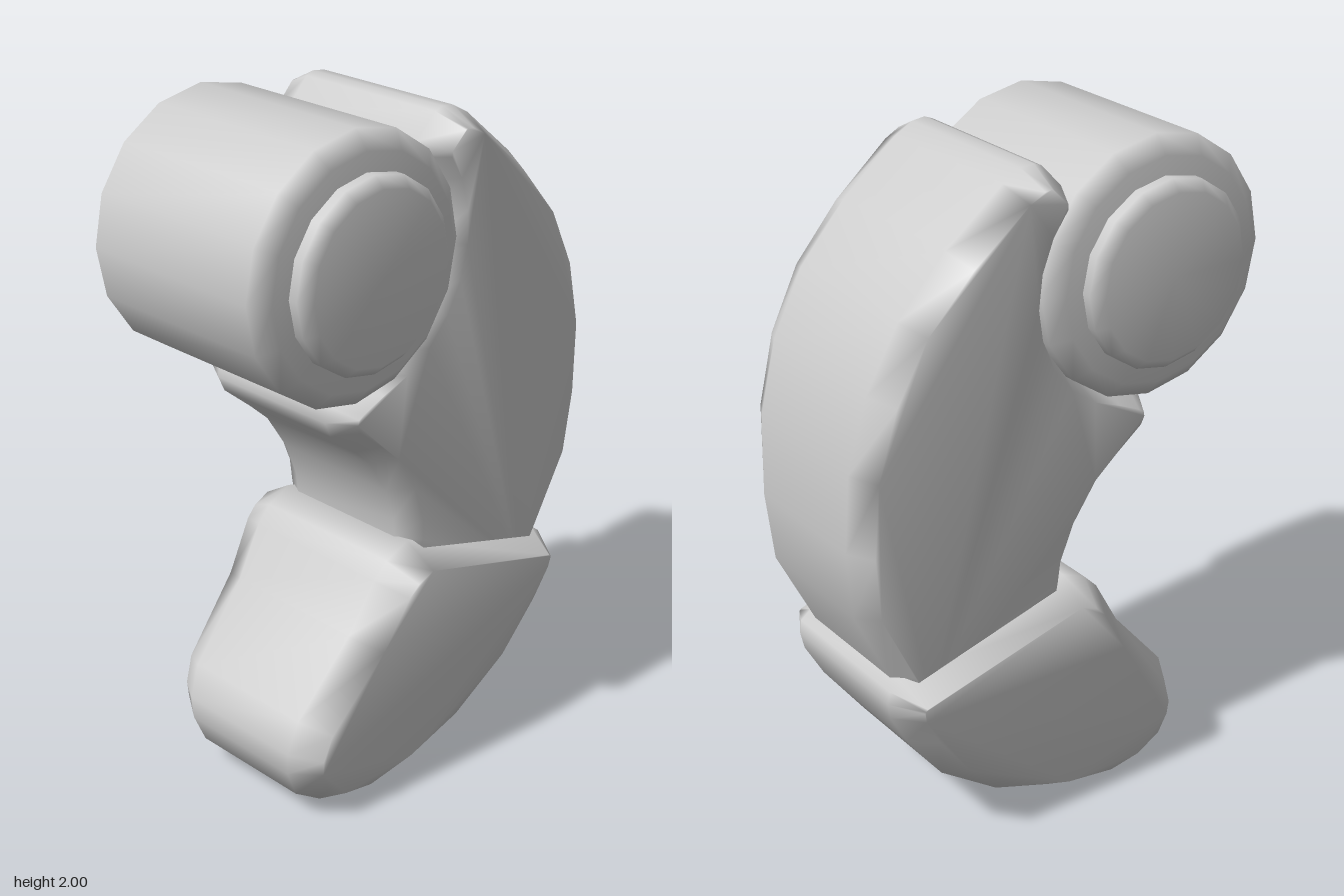
import * as THREE from 'three';
import { mergeVertices } from 'three/addons/utils/BufferGeometryUtils.js';

const grey = new THREE.MeshStandardMaterial({ color: 0xcccccc });
grey.name = 'grey';

// Weld all corners so the bevels shade smoothly
function smooth(geometry) {
  geometry.deleteAttribute('normal');
  geometry.deleteAttribute('uv');
  const welded = mergeVertices(geometry, 1e-4);
  welded.computeVertexNormals();
  return welded;
}

function addPart(group, name, geometry) {
  const mesh = new THREE.Mesh(smooth(geometry), grey);
  mesh.name = name;
  group.add(mesh);
  return mesh;
}

// Side profile of [z, y] points, bevelled, with its half width following the height
function slab(points, inset, bevel, halfWidth) {
  const shape = new THREE.Shape(points.map(([z, y]) => new THREE.Vector2(z, y)));
  const half = 0.3;
  const geometry = new THREE.ExtrudeGeometry(shape, {
    depth: 2 * (half - bevel), bevelEnabled: true, bevelSegments: 1,
    bevelThickness: bevel, bevelSize: inset, bevelOffset: -inset,
  });
  geometry.translate(0, 0, bevel - half);
  geometry.rotateY(-Math.PI / 2);
  const p = geometry.attributes.position;
  for (let i = 0; i < p.count; i++) {
    p.setX(i, p.getX(i) * halfWidth(p.getY(i)) / half);
  }
  return geometry;
}

// Sixteen-sided drum lying along x with bevelled rims
function drum(radius, half, bevelR, bevelX) {
  const profile = [
    [0, -half], [radius - bevelR, -half], [radius, bevelX - half],
    [radius, half - bevelX], [radius - bevelR, half], [0, half],
  ].map(([r, y]) => new THREE.Vector2(r, y));
  return new THREE.LatheGeometry(profile, 16).rotateZ(Math.PI / 2);
}

export function createModel() {
  const model = new THREE.Group();
  model.name = 'jointedFinger';
  const hinge = { y: 1.635, z: 0.28 };

  // Hinge barrel and the pin showing at both of its ends
  addPart(model, 'hingeBarrel', drum(0.365, 0.33, 0.05, 0.04)).position.set(0, hinge.y, hinge.z);
  addPart(model, 'hingePin', drum(0.262, 0.388, 0.03, 0.03)).position.set(0, hinge.y, hinge.z);

  // Curved arm: outer back, inner curve, lip, then the cradle around the barrel
  const arm = [
    [-0.075, 1.975], [-0.115, 1.97], [-0.17, 1.94], [-0.34, 1.8], [-0.48, 1.645],
    [-0.575, 1.465], [-0.63, 1.26], [-0.64, 1.035], [-0.62, 0.835], [-0.51, 0.61],
    [-0.44, 0.48], [0.02, 0.6], [0.04, 0.76], [0.045, 0.82], [0.08, 0.92],
    [0.145, 1.025], [0.205, 1.08], [0.295, 1.155], [0.315, 1.2], [0.305, 1.245], [0.27, 1.267],
  ];
  for (let deg = -76; deg <= 40; deg += 14.5) {
    const a = THREE.MathUtils.degToRad(deg);
    arm.push([hinge.z - 0.345 * Math.cos(a), hinge.y + 0.345 * Math.sin(a)]);
  }
  arm.push([0.013, 1.9], [-0.05, 1.965]);
  addPart(model, 'arm', slab(arm, 0.042, 0.08, (y) => 0.27 + (y - 0.8) * 0.05));

  // Rounded tip, widest where it meets the arm
  const tip = [
    [0.035, 0.765], [-0.5, 0.612], [-0.533, 0.588], [-0.54, 0.55], [-0.53, 0.5],
    [-0.475, 0.4], [-0.355, 0.24], [-0.16, 0.1], [0.03, 0.03], [0.205, 0.003],
    [0.325, 0.025], [0.42, 0.09], [0.455, 0.175], [0.458, 0.24], [0.425, 0.335],
    [0.245, 0.54], [0.16, 0.685], [0.115, 0.73],
  ];
  addPart(model, 'tip', slab(tip, 0.055, 0.09, (y) => 0.335 + (y - 0.66) * 0.1));

  return model;
}
